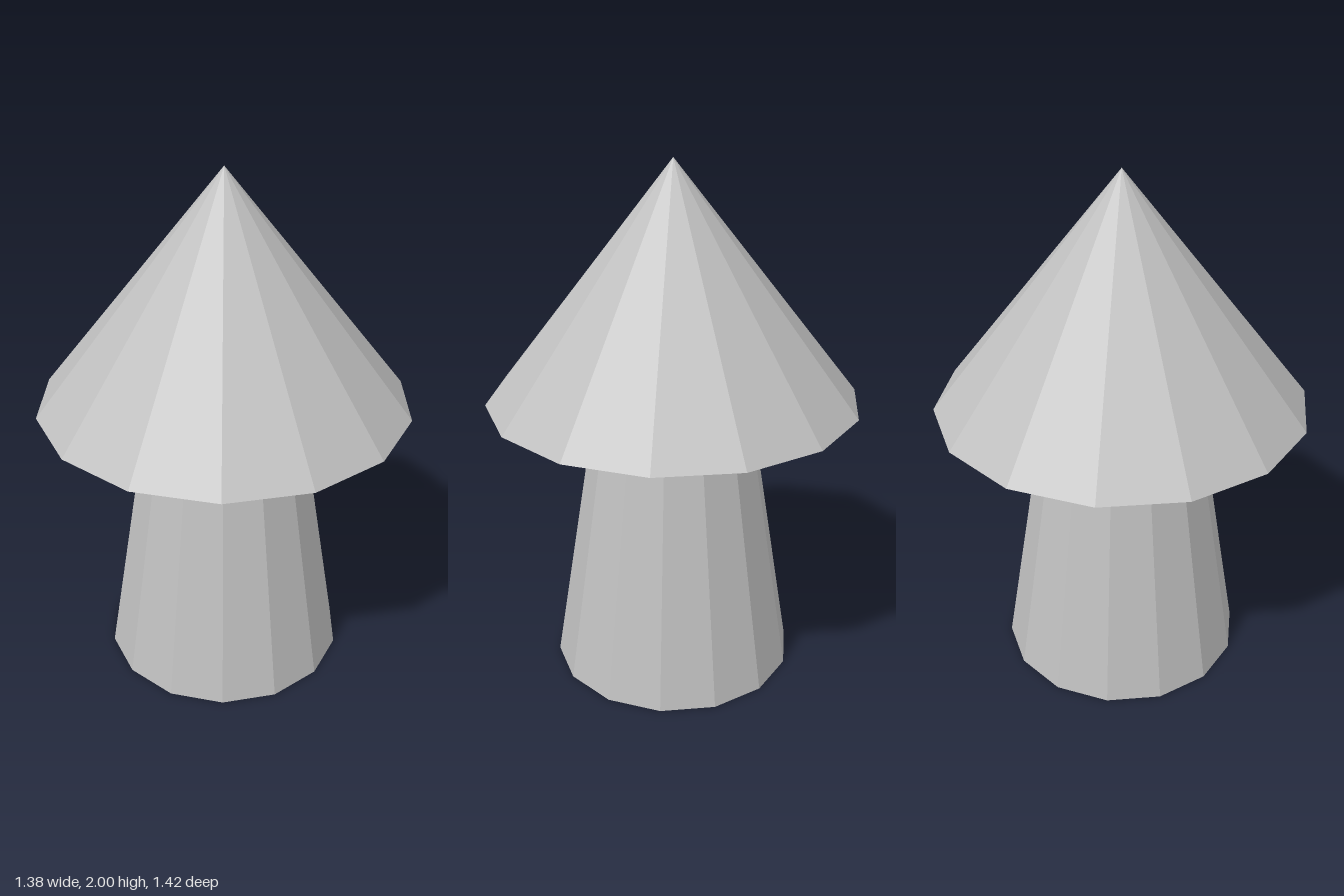
import * as THREE from 'three';

const SIDES = 14;

export function createModel() {
  const group = new THREE.Group();
  const grey = new THREE.MeshStandardMaterial({ color: 0xc0c0c0, flatShading: true });
  grey.name = 'plain grey';

  // Faceted ring between two radii, with one corner facing the front
  const addRing = (name, parent, topRadius, bottomRadius, bottomY, topY, open) => {
    const geometry = new THREE.CylinderGeometry(
      topRadius, bottomRadius, topY - bottomY, SIDES, 1, open);
    const mesh = new THREE.Mesh(geometry, grey);
    mesh.name = name;
    mesh.position.y = (bottomY + topY) / 2;
    parent.add(mesh);
  };

  // Tapered stem with a closed foot
  addRing('stem', group, 0.3, 0.475, 0, 1.08, false);

  // Pointed cap with a shallow sloping underside
  const cap = new THREE.Group();
  cap.name = 'cap';
  addRing('capTop', cap, 0, 0.71, 1.1, 2, true);
  addRing('capUnderside', cap, 0.71, 0.3, 1.08, 1.1, true);
  group.add(cap);

  return group;
}
